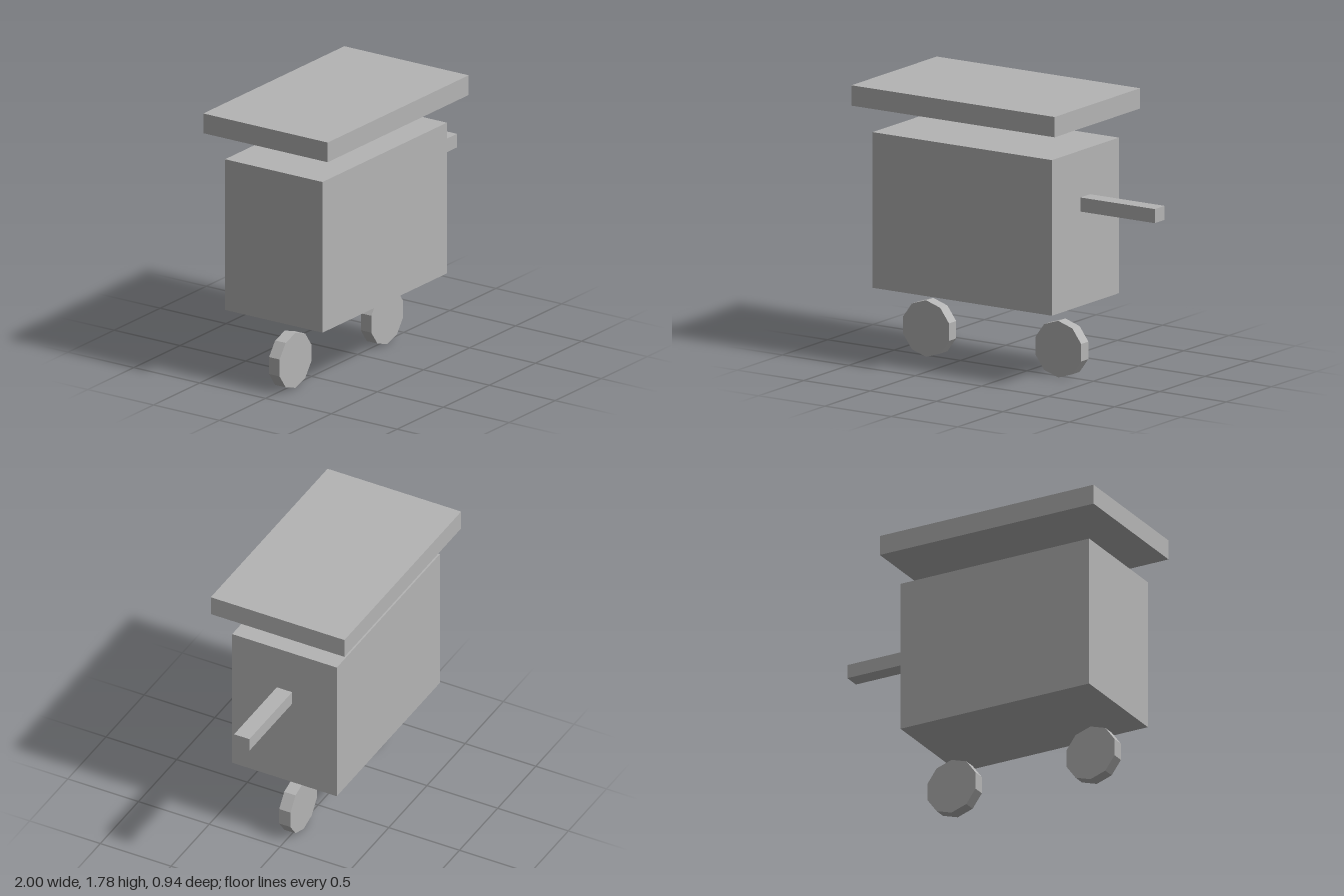
import * as THREE from 'three';

export function createModel() {
  const group = new THREE.Group();
  const grey = new THREE.MeshStandardMaterial({ color: 0xb4b4b4 });
  grey.name = 'plain grey';

  function add(name, geometry, x, y, z = 0) {
    const mesh = new THREE.Mesh(geometry, grey);
    mesh.name = name;
    mesh.position.set(x, y, z);
    group.add(mesh);
  }

  // Main bin, floating lid and side handle
  add('body', new THREE.BoxGeometry(1.35, 0.995, 0.74), -0.235, 0.98);
  add('lid', new THREE.BoxGeometry(1.53, 0.13, 0.945), -0.235, 1.72);
  add('handle', new THREE.BoxGeometry(0.56, 0.09, 0.108), 0.72, 1.132);

  // Ten-sided wheels on the centre line, axles along z
  const wheel = new THREE.CylinderGeometry(0.181, 0.181, 0.08, 10)
    .rotateX(Math.PI / 2)
    .toNonIndexed();
  wheel.computeVertexNormals();
  add('rightWheel', wheel, -0.732, 0.181);
  add('leftWheel', wheel, 0.263, 0.181);

  return group;
}
